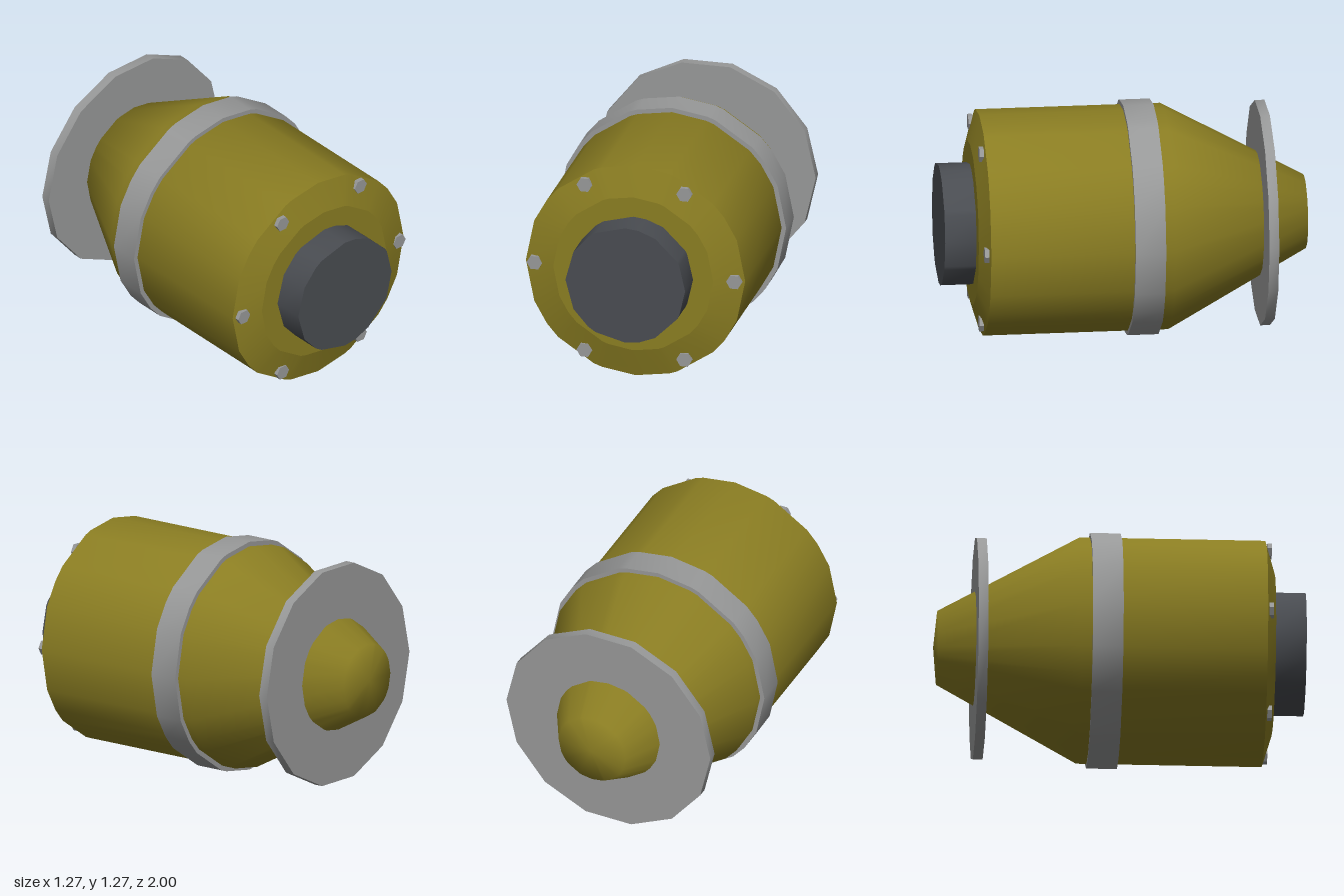
import * as THREE from 'three';
import { toCreasedNormals } from 'three/addons/utils/BufferGeometryUtils.js';

const CENTRE_Y = 0.635;

// Sorted, unique corner angles of several regular polygons laid over each other
function cornerAngles(...polygons) {
  const degrees = new Set();
  for (const [sides, start] of polygons) {
    for (let i = 0; i < sides; i++) {
      degrees.add(Math.round(((start + (i * 360) / sides) % 360) * 100) / 100);
    }
  }
  return [...degrees].sort((a, b) => a - b).map(THREE.MathUtils.degToRad);
}

// Turned solid along z: profile of [radius, z] from back to front
function turned(profile, angles, crease) {
  const points = profile.map(([r, z]) => new THREE.Vector2(r, z));
  const geometry = new THREE.LatheGeometry(points, angles.length);
  const position = geometry.attributes.position;
  for (let i = 0; i < position.count; i++) {
    const angle = angles[Math.floor(i / points.length) % angles.length];
    const [r, z] = profile[i % points.length];
    position.setXYZ(i, r * Math.cos(angle), r * Math.sin(angle), z);
  }
  geometry.deleteAttribute('normal');
  return toCreasedNormals(geometry, crease);
}

const disc = (r, back, front) => [[0, back], [r, back], [r, front], [0, front]];

export function createModel() {
  const olive = new THREE.MeshStandardMaterial({ color: 0x8a7d22 });
  olive.name = 'olive paint';
  const grey = new THREE.MeshStandardMaterial({ color: 0x979898 });
  grey.name = 'grey metal';
  const dark = new THREE.MeshStandardMaterial({ color: 0x494c51 });
  dark.name = 'dark metal';

  const model = new THREE.Group();
  model.name = 'canister';
  const add = (name, geometry, material) => {
    const mesh = new THREE.Mesh(geometry, material);
    mesh.name = name;
    mesh.position.y = CENTRE_Y;
    model.add(mesh);
    return mesh;
  };

  const hull = cornerAngles([16, 0], [10, 0]);
  const neck = cornerAngles([12, 0], [7, 180]);
  const plate = cornerAngles([14, 0]);

  // Barrel with tapered tail and blunt tip
  add('body', turned([[0, -1], [0.2, -0.98], [0.61, -0.22], [0.61, 0.78]], hull, 1.1), olive);
  // Bevelled front cover
  add('frontCover', turned([[0.61, 0.78], [0.445, 0.83], [0, 0.83]], hull, 0.25), olive);
  // Band around the barrel
  add('band', turned(disc(0.635, -0.165, 0), hull, 0.6), grey);
  // Plate around the tail
  add('tailPlate', turned(disc(0.61, -0.78, -0.727), plate, 0.6), grey);
  // Short neck at the front
  add('neck', turned(disc(0.333, 0.82, 1), neck, 0.6), dark);

  // Ring of hexagonal bolts on the cover
  const bolt = turned(disc(0.043, 0.788, 0.812), cornerAngles([6, 0]), 0.3);
  for (let i = 0; i < 6; i++) {
    const angle = (i * Math.PI) / 3;
    const mesh = add('bolt' + (i + 1), bolt, grey);
    mesh.position.x = 0.555 * Math.cos(angle);
    mesh.position.y += 0.555 * Math.sin(angle);
  }
  return model;
}
